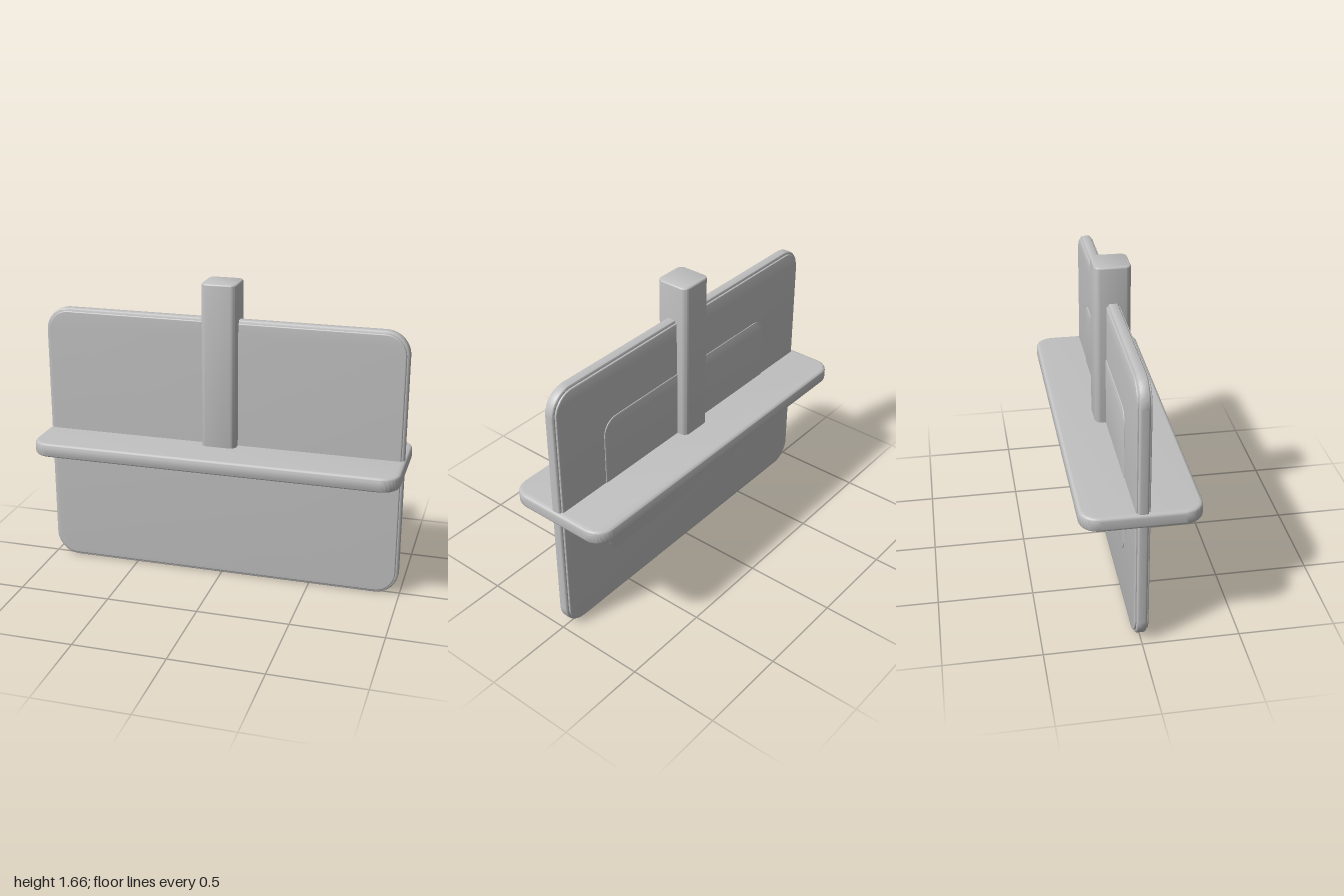
import * as THREE from 'three';
import { toCreasedNormals } from 'three/addons/utils/BufferGeometryUtils.js';

const grey = new THREE.MeshStandardMaterial({ color: 0xc0c0c0 });
grey.name = 'plain grey';

// Rounded rectangle slab, centred on the origin, with a softened rim
function slab(name, w, h, depth, radius, bevel) {
  const x = w / 2 - bevel, y = h / 2 - bevel, r = radius - bevel;
  const s = new THREE.Shape();
  s.absarc(x - r, y - r, r, 0, Math.PI / 2);
  s.absarc(-x + r, y - r, r, Math.PI / 2, Math.PI);
  s.absarc(-x + r, -y + r, r, Math.PI, Math.PI * 1.5);
  s.absarc(x - r, -y + r, r, Math.PI * 1.5, Math.PI * 2);
  s.closePath();
  const g = new THREE.ExtrudeGeometry(s, {
    depth: depth - 2 * bevel, bevelEnabled: true, bevelThickness: bevel,
    bevelSize: bevel, bevelSegments: 4, curveSegments: 10,
  });
  g.translate(0, 0, -depth / 2 + bevel);
  const mesh = new THREE.Mesh(toCreasedNormals(g, 0.6), grey);
  mesh.name = name;
  return mesh;
}

export function createModel() {
  const model = new THREE.Group();
  model.name = 'panelWithShelfAndPost';
  const add = (mesh, y, z = 0) => {
    mesh.position.set(0, y, z);
    model.add(mesh);
    return mesh;
  };

  // Upright panel: core slab with a slightly smaller plate on each face
  add(slab('panelCore', 1.98, 1.467, 0.054, 0.13, 0.012), 0.7335);
  for (const side of [1, -1]) {
    add(slab(side > 0 ? 'frontPlate' : 'backPlate', 1.95, 1.437, 0.02, 0.115, 0.006), 0.7335, side * 0.026);
  }

  // Raised cover on the back
  add(slab('backCover', 1.32, 0.84, 0.02, 0.09, 0.004), 0.73, -0.03);

  // Horizontal shelf crossing the panel
  add(slab('shelf', 2, 0.61, 0.077, 0.1, 0.018), 0.7385).rotation.x = -Math.PI / 2;

  // Square post rising from the shelf
  add(slab('post', 0.19, 0.19, 0.915, 0.035, 0.01), 1.2075).rotation.x = -Math.PI / 2;

  return model;
}
